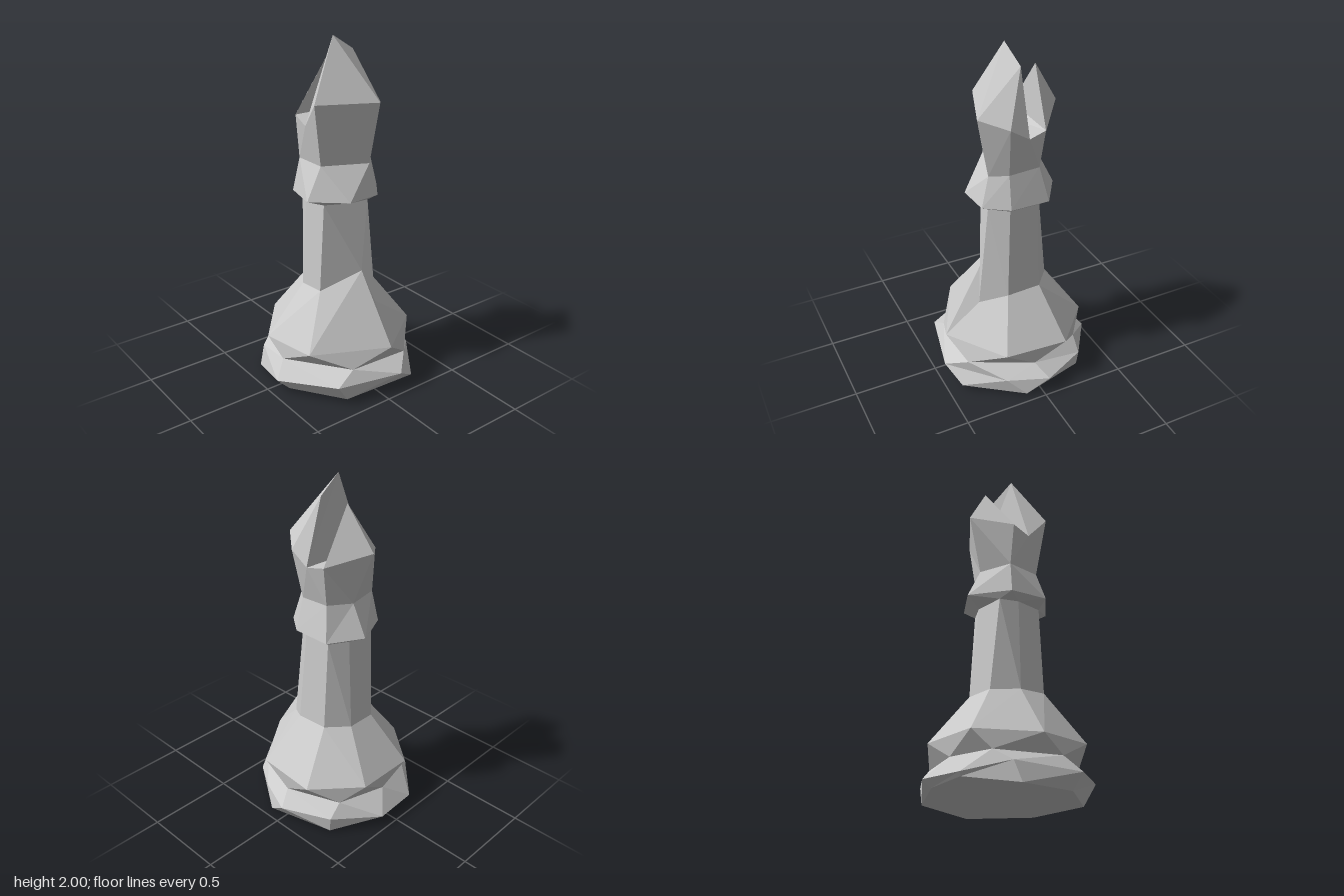
import * as THREE from 'three';

// Cross-sections [x, y, z], from the foot upwards
const foot = [[.37, .01, .2], [.42, .03, -.24], [.1, .01, -.45], [-.29, .01, -.35], [-.43, .03, -.08], [-.44, .04, .16], [-.25, 0, .39], [.08, .01, .4]];
const rim = [[.39, .12, .275], [.475, .115, -.11], [.2, .1, -.39], [-.03, .105, -.485], [-.3, .1, -.355], [-.475, .07, -.1], [-.455, .06, .17], [-.27, .115, .35], [.075, .09, .48]];
const groove = [[.37, .19, .16], [.37, .175, -.22], [.02, .17, -.39], [-.3, .18, -.28], [-.385, .18, 0], [-.32, .18, .25], [.02, .18, .4]];
const flare = [[.235, .29, .365], [.44, .29, -.06], [.2, .28, -.39], [-.17, .28, -.415], [-.4, .285, -.17], [-.4, .285, .18], [-.12, .27, .41]];
const stemFoot = [[.1, .585, .19], [.2, .69, -.03], [.24, .49, -.1], [.1, .56, -.2], [-.1, .57, -.2], [-.2, .565, -.08], [-.2, .565, .09], [-.07, .57, .19]];
const stemTop = [[.1, 1.1, .16], [.17, 1.1, -.09], [.07, 1.1, -.165], [-.1, 1.1, -.165], [-.16, 1.1, -.06], [-.16, 1.1, .12], [-.06, 1.1, .165]];
const collarRim = [[.07, 1.13, .25], [.235, 1.135, .08], [.22, 1.135, -.12], [.09, 1.14, -.22], [-.14, 1.14, -.22], [-.26, 1.15, -.04], [-.14, 1.13, .2]];
const neck = [[.08, 1.32, .165], [.17, 1.31, -.1], [.08, 1.33, -.175], [-.1, 1.34, -.175], [-.17, 1.33, -.04], [-.12, 1.32, .165]];

// Head corners, including the four corners of the slot floor
const front = [.11, 1.67, .225], side = [.235, 1.66, -.115], back = [.1, 1.62, -.23], outer = [-.28, 1.64, -.01];
const slotRB = [-.01, 1.55, -.23], slotLB = [-.115, 1.57, -.21], slotLF = [-.115, 1.57, .19], slotRF = [-.01, 1.53, .2];
const tip = [.01, 2, .03], backTip = [-.01, 1.91, -.12], leftTip = [-.13, 1.885, -.05];
const crown = [front, side, back, slotRB, slotLB, outer, slotLF, slotRF];

// Ring sorted counter-clockwise from above, with its first point repeated at the end
function sweep(ring) {
  const turn = 2 * Math.PI;
  const pts = ring.map(p => ({ p, t: (Math.atan2(-p[2], p[0]) + turn) % turn })).sort((a, b) => a.t - b.t);
  return [...pts, { p: pts[0].p, t: pts[0].t + turn }];
}

// Triangles joining a lower ring to an upper ring of any point count
function bridge(lower, upper) {
  const a = sweep(lower), b = sweep(upper), tris = [];
  let i = 0, j = 0;
  while (i < a.length - 1 || j < b.length - 1) {
    const stepA = j === b.length - 1 ||
      (i < a.length - 1 && a[i].t + a[i + 1].t < b[j].t + b[j + 1].t);
    if (stepA) {
      tris.push([a[i].p, a[i + 1].p, b[j].p]);
      i++;
    } else {
      tris.push([a[i].p, b[j + 1].p, b[j].p]);
      j++;
    }
  }
  return tris;
}

// Fan closing a ring from below
function capBelow(ring) {
  const s = sweep(ring);
  return s.slice(1).map((q, i) => [[0, .005, 0], q.p, s[i].p]);
}

export function createModel() {
  const group = new THREE.Group();
  const material = new THREE.MeshStandardMaterial({ color: 0xcccccc, flatShading: true, side: THREE.DoubleSide });

  function addPart(name, tris) {
    const geometry = new THREE.BufferGeometry();
    geometry.setAttribute('position', new THREE.Float32BufferAttribute(tris.flat(2), 3));
    geometry.computeVertexNormals();
    const mesh = new THREE.Mesh(geometry, material);
    mesh.name = name;
    group.add(mesh);
  }

  addPart('base', [...capBelow(foot), ...bridge(foot, rim), ...bridge(rim, groove)]);
  addPart('skirt', [...bridge(groove, flare), ...bridge(flare, stemFoot)]);
  addPart('stem', bridge(stemFoot, stemTop));
  addPart('collar', [...bridge(stemTop, collarRim), ...bridge(collarRim, neck)]);
  addPart('head', bridge(neck, crown));

  // Slot floor and the two horns on either side of it
  addPart('slotFloor', [[slotRF, slotRB, slotLB], [slotRF, slotLB, slotLF]]);
  addPart('leftHorn', [
    [slotRF, front, tip], [front, side, tip], [side, backTip, tip],
    [side, back, backTip], [back, slotRB, backTip],
    [slotRB, slotRF, tip], [slotRB, tip, backTip],
  ]);
  addPart('rightHorn', [
    [slotLB, outer, leftTip], [outer, slotLF, leftTip], [slotLF, slotLB, leftTip],
  ]);
  return group;
}
